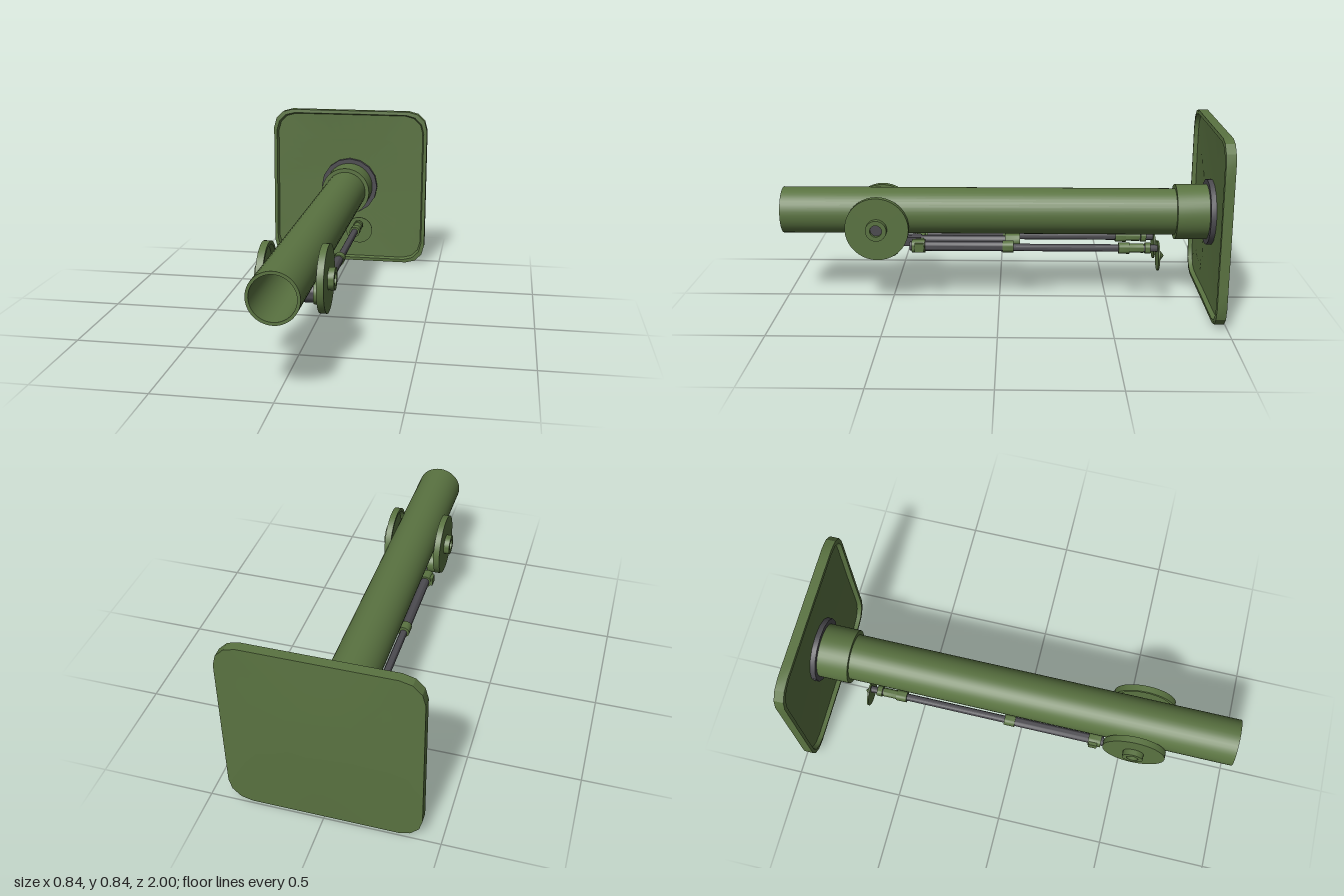
import * as THREE from 'three';
import { toCreasedNormals } from 'three/addons/utils/BufferGeometryUtils.js';

const green = new THREE.MeshStandardMaterial({ color: 0x5a7341, side: THREE.DoubleSide });
const dark = new THREE.MeshStandardMaterial({ color: 0x4c4b50, side: THREE.DoubleSide });

function add(parent, name, geometry, material, x = 0, y = 0, z = 0) {
  const mesh = new THREE.Mesh(geometry, material);
  mesh.name = name;
  mesh.position.set(x, y, z);
  parent.add(mesh);
  return mesh;
}

// Turned part from [radius, position] pairs, lying along z or x
function turned(profile, axis = 'z', sides = 32) {
  const g = new THREE.LatheGeometry(profile.map(([r, p]) => new THREE.Vector2(r, p)), sides);
  if (axis === 'z') g.rotateX(Math.PI / 2);
  else g.rotateZ(-Math.PI / 2);
  return toCreasedNormals(g, 0.7);
}

// Solid round bar between two positions on its axis
const bar = (r, from, to, axis = 'z', sides = 20) =>
  turned([[0, from], [r, from], [r, to], [0, to]], axis, sides);

// Rounded square loop with subdivided sides, counter-clockwise from +z
function squareLoop(half) {
  const r = half * 0.24, c = half - r, corners = [];
  for (let q = 0; q < 4; q++) {
    const mid = (q + 0.5) * Math.PI / 2;
    const cx = Math.sign(Math.cos(mid)) * c, cy = Math.sign(Math.sin(mid)) * c;
    for (let i = 0; i <= 3; i++) {
      const a = (q + i / 3) * Math.PI / 2;
      corners.push([cx + r * Math.cos(a), cy + r * Math.sin(a)]);
    }
  }
  const points = [];
  corners.forEach((p, i) => {
    const next = corners[(i + 1) % corners.length];
    const steps = i % 4 === 3 ? 8 : 1;
    for (let s = 0; s < steps; s++) {
      const t = s / steps;
      points.push([p[0] + (next[0] - p[0]) * t, p[1] + (next[1] - p[1]) * t]);
    }
  });
  return points;
}

// Slightly dished plate with a raised rim on its front
function plateGeometry() {
  const rings = [[0, -0.965], [0.13, -0.965], [0.26, -0.965], [0.394, -0.965], [0.401, -0.945],
    [0.418, -0.947], [0.418, -0.99], [0.28, -0.99], [0.14, -0.99], [0, -0.99]];
  const positions = [], index = [];
  let n = 0;
  for (const [half, z] of rings) {
    const loop = squareLoop(half);
    n = loop.length;
    for (const [x, y] of loop) {
      const dish = 0.01 * Math.max(0, 1 - (x * x + y * y) / (0.418 * 0.418));
      positions.push(x, y, z - dish);
    }
  }
  for (let i = 0; i < rings.length - 1; i++) {
    for (let j = 0; j < n; j++) {
      const a = i * n + j, b = i * n + (j + 1) % n;
      index.push(a, a + n, b + n, a, b + n, b);
    }
  }
  const g = new THREE.BufferGeometry();
  g.setAttribute('position', new THREE.Float32BufferAttribute(positions, 3));
  g.setIndex(index);
  return toCreasedNormals(g, 0.5);
}

// Wheel with a hollow inner face and a bored hub
function buildWheel(side) {
  const wheel = new THREE.Group();
  wheel.name = side > 0 ? 'leftWheel' : 'rightWheel';
  const disc = [[0, 0.128], [0.125, 0.128], [0.13, 0.11], [0.145, 0.11], [0.145, 0.14], [0, 0.14]];
  const hub = [[0.048, 0.138], [0.048, 0.167], [0.027, 0.167], [0.027, 0.138]];
  add(wheel, 'wheelDisc', turned(disc, 'x', 40), green);
  add(wheel, 'wheelHub', turned(hub, 'x'), green);
  add(wheel, 'axleEnd', bar(0.027, 0.138, 0.15, 'x'), dark);
  wheel.rotation.y = side > 0 ? 0 : Math.PI;
  wheel.position.set(0, 0.367, 0.555);
  return wheel;
}

// Telescopic leg with clamps and a round spiked foot
function buildLeg(side) {
  const leg = new THREE.Group();
  leg.name = side > 0 ? 'leftLeg' : 'rightLeg';
  const y = 0.27;
  add(leg, 'upperTube', bar(0.022, -0.05, 0.41), dark, 0, 0.004);
  add(leg, 'lowerTube', bar(0.017, -0.56, 0), dark);
  add(leg, 'topClamp', bar(0.031, 0.34, 0.4), green, 0, 0.004);
  add(leg, 'middleCollar', bar(0.027, -0.065, -0.015), green, 0, 0.004);
  add(leg, 'lowerCollar', bar(0.026, -0.595, -0.545), green);
  add(leg, 'lowerSleeve', bar(0.021, -0.66, -0.59), green);
  add(leg, 'sleeveRing', bar(0.025, -0.69, -0.665), green);
  add(leg, 'footNeck', bar(0.016, -0.725, -0.655), dark);
  add(leg, 'footDisc', bar(0.069, -0.729, -0.722, 'z', 32), green, 0, -0.035);
  const spike = new THREE.ConeGeometry(0.035, 0.026, 16).rotateX(-Math.PI / 2);
  add(leg, 'footSpike', spike, green, 0, -0.035, -0.741);
  leg.position.set(side * 0.088, y, 0);
  return leg;
}

export function createModel() {
  const model = new THREE.Group();
  model.name = 'mortar';

  // Hollow barrel with its breech collar
  const barrel = [[0, -0.95], [0.107, -0.95], [0.107, 1], [0.094, 1], [0.094, -0.85], [0, -0.85]];
  add(model, 'barrel', turned(barrel, 'z', 40), green, 0, 0.42);
  const collar = [[0.1, -0.965], [0.127, -0.965], [0.127, -0.805], [0.106, -0.805]];
  add(model, 'breechCollar', turned(collar, 'z', 40), green, 0, 0.42);
  add(model, 'breechRing', bar(0.152, -0.985, -0.95, 'z', 16), dark, 0, 0.42);

  // Base plate
  add(model, 'basePlate', plateGeometry(), green, 0, 0.418);

  // Axle under the barrel, with end sleeves, wheels and legs
  add(model, 'axle', bar(0.044, -0.09, 0.09, 'x', 28), dark, 0, 0.285, 0.5);
  for (const side of [1, -1]) {
    const from = side > 0 ? 0.07 : -0.132;
    add(model, 'axleSleeve', bar(0.05, from, from + 0.062, 'x', 28), green, 0, 0.285, 0.5);
    model.add(buildWheel(side));
    model.add(buildLeg(side));
    // Lug wrapping the outside of each top clamp
    add(model, 'clampLug', new THREE.BoxGeometry(0.018, 0.04, 0.04), green, side * 0.116, 0.275, 0.365);
  }

  // Yoke joining the legs to the axle
  add(model, 'yokeArm', new THREE.BoxGeometry(0.06, 0.04, 0.13), dark, 0, 0.275, 0.43);
  add(model, 'yokeCrossbar', new THREE.BoxGeometry(0.19, 0.034, 0.036), green, 0, 0.273, 0.37);

  // Central elevating tube
  add(model, 'elevatingTube', bar(0.024, -0.05, 0.48), dark, 0, 0.273);
  add(model, 'elevatingCap', bar(0.035, -0.095, -0.025), green, 0, 0.273);
  return model;
}
